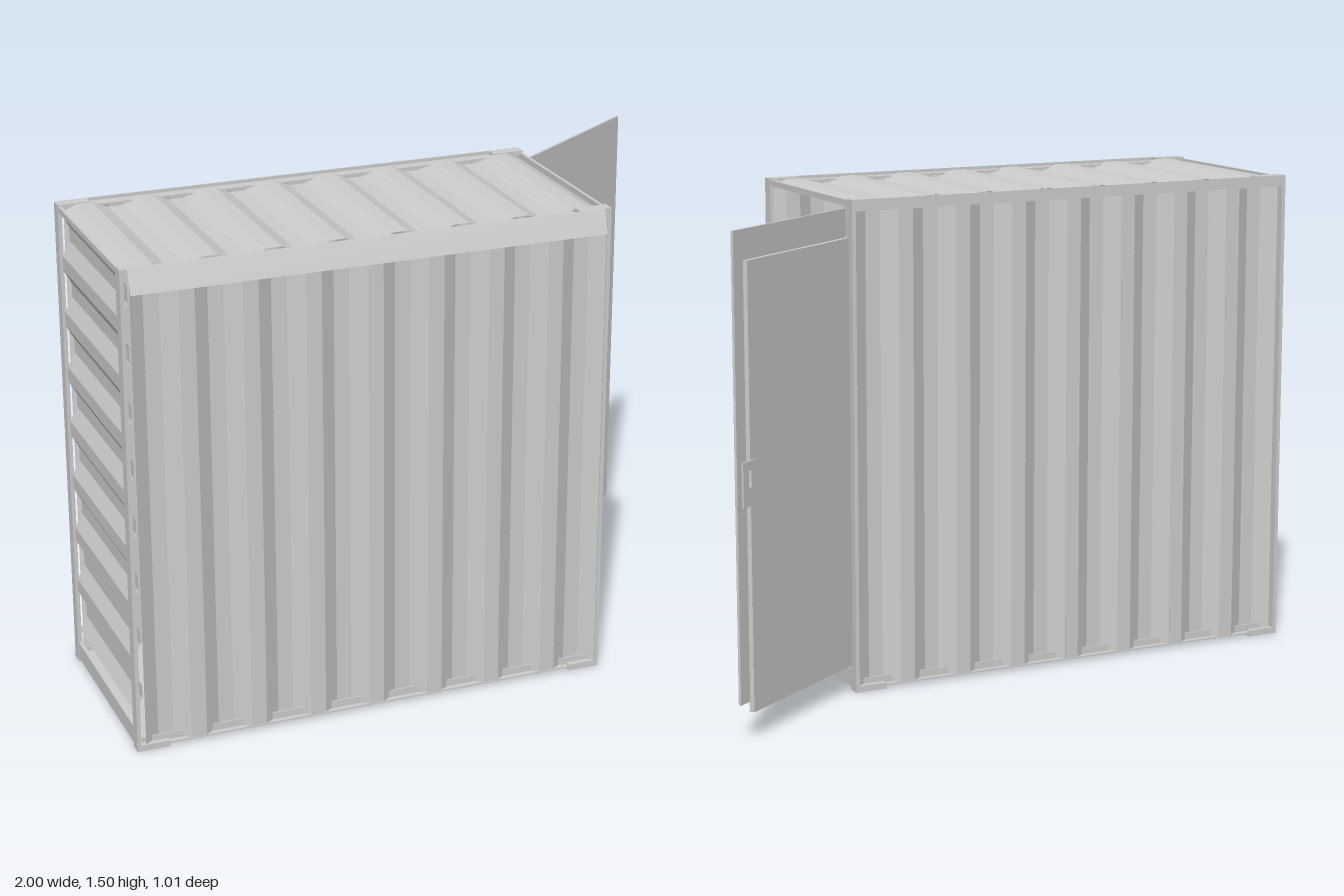
import * as THREE from 'three';

const mat = new THREE.MeshStandardMaterial({ color: 0xcccccc, flatShading: true, side: THREE.DoubleSide });

// Box given by its min and max corners
function box(parent, name, [x0, y0, z0], [x1, y1, z1]) {
  const m = new THREE.Mesh(new THREE.BoxGeometry(x1 - x0, y1 - y0, z1 - z0), mat);
  m.position.set((x0 + x1) / 2, (y0 + y1) / 2, (z0 + z1) / 2);
  m.name = name;
  parent.add(m);
  return m;
}

// Trapezoid-ribbed sheet: runs from a to b, rib height from lo to hi, swept across c to d
function ribbed(parent, name, a, b, lo, hi, c, d, place) {
  const levels = [lo, hi, hi, lo], count = 31, pos = [], index = [];
  for (let i = 0; i <= count; i++) {
    const run = a + (b - a) * i / count, h = levels[i % 4];
    pos.push(...place(run, h, c), ...place(run, h, d));
    if (i < count) {
      const k = i * 2;
      index.push(k, k + 1, k + 2, k + 2, k + 1, k + 3);
    }
  }
  const g = new THREE.BufferGeometry();
  g.setAttribute('position', new THREE.Float32BufferAttribute(pos, 3));
  g.setIndex(index);
  g.computeVertexNormals();
  const m = new THREE.Mesh(g, mat);
  m.name = name;
  parent.add(m);
}

// Lock plate with a rounded slot, drawn in XY and centred on the origin
function lockPlate(w, h, depth) {
  const s = new THREE.Shape();
  s.moveTo(-w / 2, -h / 2);
  s.lineTo(w / 2, -h / 2);
  s.lineTo(w / 2, h / 2);
  s.lineTo(-w / 2, h / 2);
  s.closePath();
  const slot = new THREE.Path(), r = 0.007;
  slot.absarc(0, 0.035, r, 0, Math.PI, false);
  slot.absarc(0, -0.005, r, Math.PI, Math.PI * 2, false);
  slot.closePath();
  s.holes.push(slot);
  const g = new THREE.ExtrudeGeometry(s, { depth, bevelEnabled: false, curveSegments: 6 });
  const m = new THREE.Mesh(g, mat);
  m.name = 'lockPlate';
  return m;
}

export function createModel() {
  const model = new THREE.Group();
  model.name = 'storageContainer';

  // Ribbed side walls, end wall and roof
  ribbed(model, 'frontWall', -0.973, 0.49, 0.472, 0.442, 0.015, 1.48, (x, z, y) => [x, y, z]);
  ribbed(model, 'backWall', -0.973, 0.49, -0.192, -0.162, 0.015, 1.48, (x, z, y) => [x, y, z]);
  ribbed(model, 'endWall', 0.108, 1.475, -0.992, -0.968, -0.155, 0.435, (y, x, z) => [x, y, z]);
  ribbed(model, 'roof', -0.99, 0.49, 1.476, 1.497, -0.16, 0.44, (x, y, z) => [x, y, z]);

  // Floor sheet
  box(model, 'floor', [-0.99, 0.012, -0.165], [0.49, 0.02, 0.445]);

  // Frame along the front and back: s points outward in z
  for (const s of [1, -1]) {
    const z = (v) => 0.14 + s * v;
    const bar = (name, x0, x1, y0, y1, v0, v1) =>
      box(model, name, [x0, y0, Math.min(z(v0), z(v1))], [x1, y1, Math.max(z(v0), z(v1))]);
    bar('topRailFlange', -1, 0.5, 1.484, 1.49, 0.295, 0.335);
    bar('topRailWeb', -1, 0.5, 1.465, 1.5, 0.331, 0.335);
    bar('bottomRail', -0.98, 0.49, 0.01, 0.037, 0.314, 0.318);
    bar('bottomRailFlange', -0.98, 0.49, 0.01, 0.015, 0.295, 0.334);
    for (const [x0, x1, c0, c1] of [[-1, -0.988, -1, -0.9], [0.488, 0.5, 0.4, 0.5]]) {
      bar('cornerPost', x0, x1, 0, 1.5, 0.295, 0.335);
      bar('cornerFoot', c0, c1, 0, 0.02, 0.295, 0.335);
      bar('cornerCap', c0, c1, 1.485, 1.5, 0.295, 0.335);
    }
  }
  for (const x of [-0.998, 0.488]) {
    box(model, 'endSill', [x, 0.01, -0.155], [x + 0.01, 0.065, 0.435]);
    box(model, 'endHeader', [x, 1.477, -0.155], [x + 0.01, 1.495, 0.435]);
  }

  // Sloping rain strip above the front wall
  const rain = new THREE.Mesh(new THREE.PlaneGeometry(1.455, Math.hypot(0.07, 0.025)), mat);
  rain.position.set(-0.25, 1.465, 0.4875);
  rain.rotation.x = -Math.atan2(0.025, 0.07);
  rain.name = 'rainStrip';
  model.add(rain);

  // Lock plate and catch on the front post
  const catchPlate = lockPlate(0.04, 0.13, 0.006);
  catchPlate.rotation.y = Math.PI / 2;
  catchPlate.position.set(0.494, 0.755, 0.418);
  model.add(catchPlate);
  box(model, 'catch', [0.498, 0.745, 0.405], [0.51, 0.8, 0.412]);

  // Open door, built along +x from its hinge line
  const door = new THREE.Group();
  door.name = 'door';
  box(door, 'doorOuterPanel', [0, 0.11, -0.004], [0.595, 1.472, 0.004]);
  box(door, 'doorInnerPanel', [0, 0.08, -0.018], [0.548, 1.385, -0.012]);
  box(door, 'doorInnerEdge', [0.544, 0.08, -0.018], [0.548, 1.385, -0.002]);
  box(door, 'doorInnerTop', [0, 1.381, -0.018], [0.548, 1.385, -0.002]);
  box(door, 'doorInnerBottom', [0, 0.08, -0.018], [0.548, 0.084, 0]);
  const doorLock = lockPlate(0.07, 0.13, 0.005);
  doorLock.position.set(0.56, 0.755, -0.025);
  door.add(doorLock);
  door.position.set(0.504, 0, -0.15);
  door.rotation.y = Math.atan2(0.338, 0.488);
  model.add(door);

  // Hinges between the back post and the door
  for (const y of [0.2, 0.78, 1.36]) {
    const hinge = new THREE.Mesh(new THREE.CylinderGeometry(0.006, 0.006, 0.06, 8), mat);
    hinge.position.set(0.502, y, -0.156);
    hinge.name = 'hinge';
    model.add(hinge);
  }
  return model;
}
